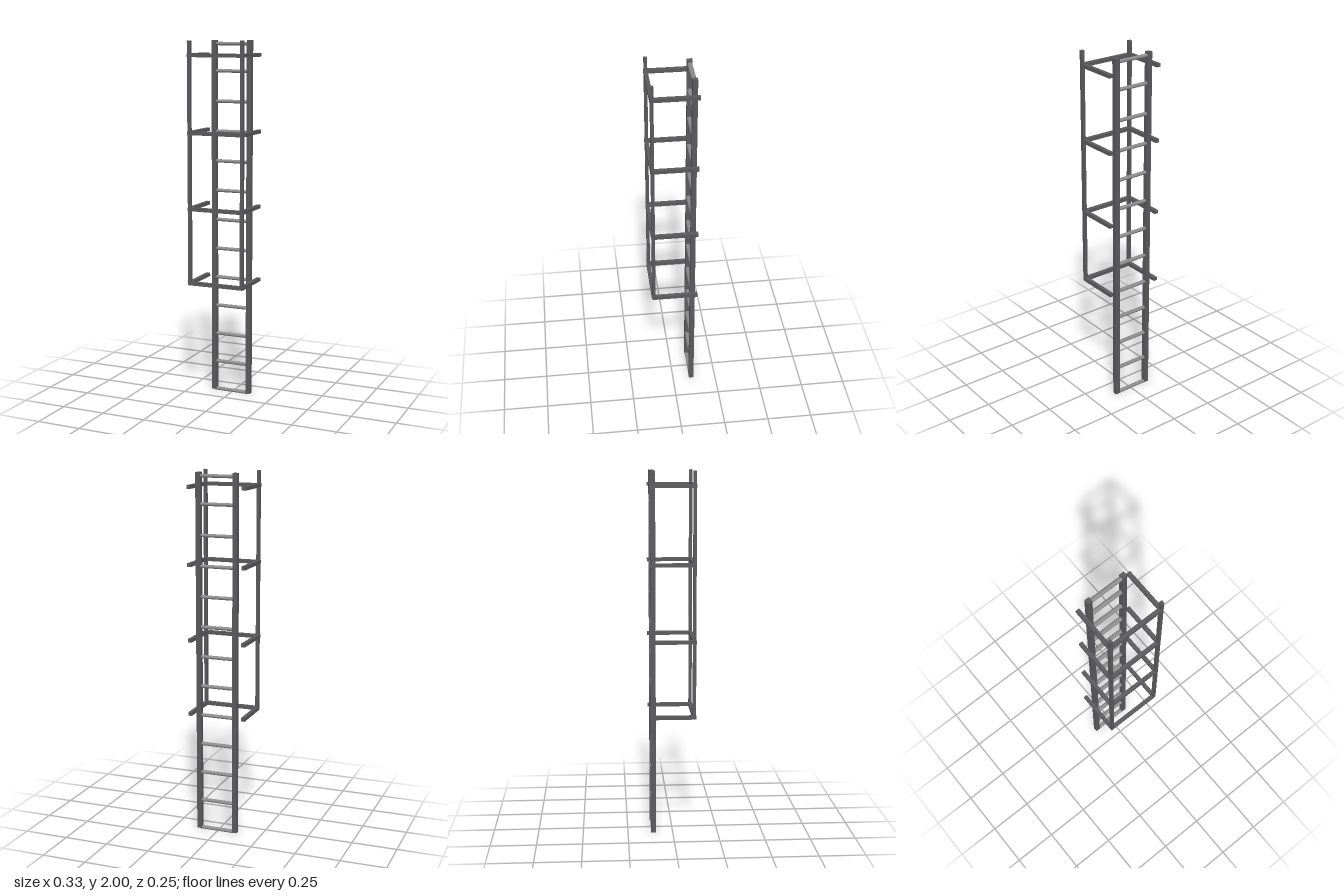
import * as THREE from 'three';

const steel = new THREE.MeshStandardMaterial({ color: 0x5a5a5d });
const wornSteel = new THREE.MeshStandardMaterial({ color: 0x8a8a8a });

// Square bar given by its extents on each axis
function bar(name, [x0, x1], [y0, y1], [z0, z1]) {
  const mesh = new THREE.Mesh(new THREE.BoxGeometry(x1 - x0, y1 - y0, z1 - z0), steel);
  mesh.position.set((x0 + x1) / 2, (y0 + y1) / 2, (z0 + z1) / 2);
  mesh.name = name;
  return mesh;
}

function createLadder() {
  const ladder = new THREE.Group();
  ladder.name = 'ladder';

  // Side rails
  ladder.add(bar('leftRail', [0.091, 0.118], [0.008, 2], [-0.121, -0.094]));
  ladder.add(bar('rightRail', [-0.118, -0.091], [0.008, 2], [-0.121, -0.094]));

  // Evenly spaced oval rungs, the last one kept just below the rail tops
  const rungGeometry = new THREE.CylinderGeometry(1, 1, 0.2, 16);
  rungGeometry.scale(0.0095, 1, 0.0125);
  rungGeometry.rotateZ(Math.PI / 2);
  for (let i = 0; i < 13; i++) {
    const rung = new THREE.Mesh(rungGeometry, wornSteel);
    rung.name = 'rung';
    rung.position.set(0, Math.min(0.0105 + i * 0.1657, 1.981), -0.107);
    ladder.add(rung);
  }
  return ladder;
}

function createCage() {
  const cage = new THREE.Group();
  cage.name = 'safetyCage';

  // Front uprights
  cage.add(bar('leftUpright', [0.145, 0.163], [0.667, 2], [0.105, 0.123]));
  cage.add(bar('rightUpright', [-0.163, -0.145], [0.667, 2], [0.105, 0.123]));

  // Four three-sided hoops, open towards the wall
  for (let i = 0; i < 4; i++) {
    const y = 0.677 + i * 0.415;
    const height = [y - 0.01, y + 0.01];
    const hoop = new THREE.Group();
    hoop.name = 'hoop';
    hoop.add(bar('hoopFront', [-0.165, 0.156], height, [0.104, 0.125]));
    hoop.add(bar('hoopLeft', [0.143, 0.164], height, [-0.129, 0.114]));
    hoop.add(bar('hoopRight', [-0.166, -0.145], height, [-0.129, 0.114]));
    cage.add(hoop);
  }
  return cage;
}

export function createModel() {
  const model = new THREE.Group();
  model.name = 'cagedLadder';
  model.add(createLadder(), createCage());
  return model;
}
